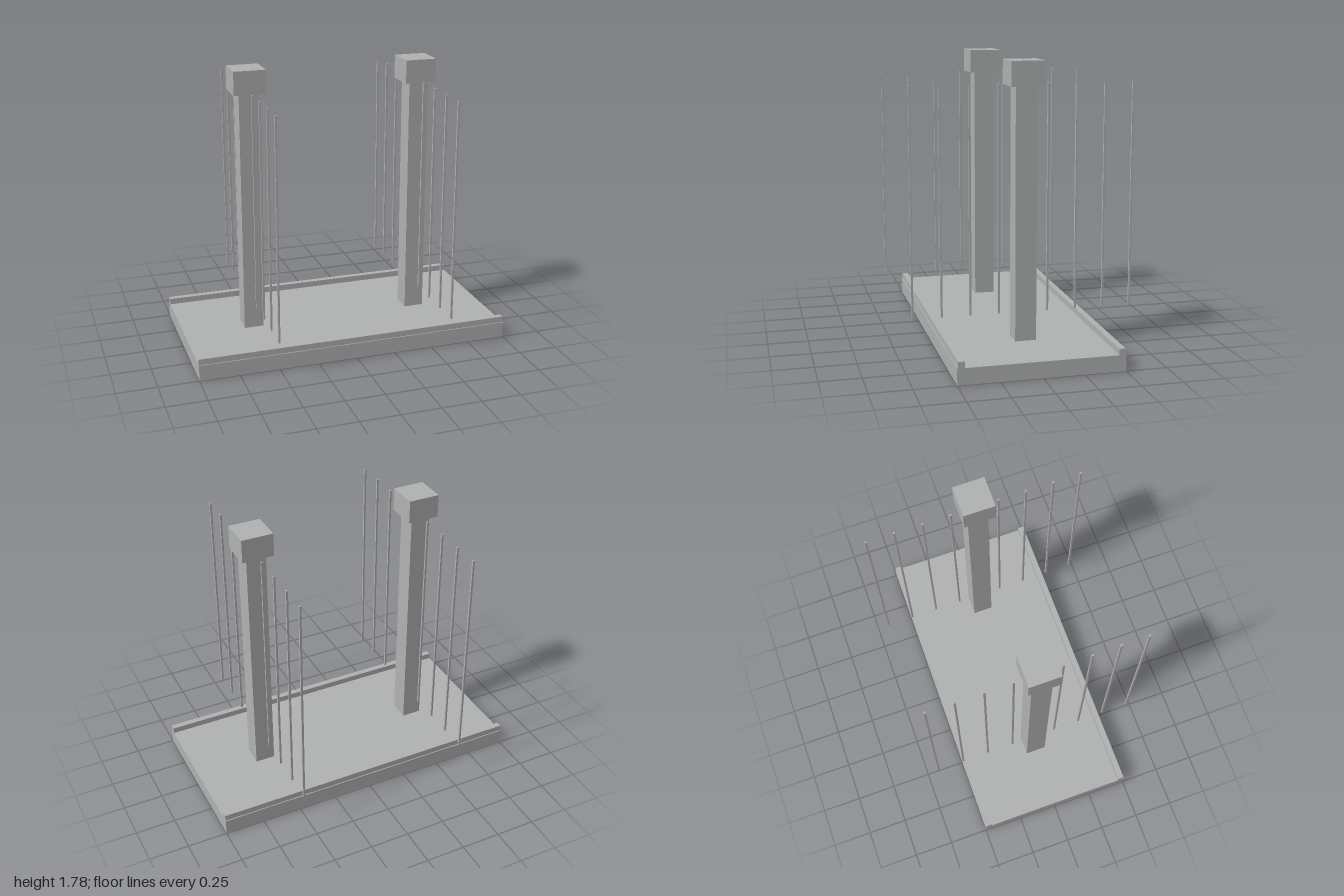
import * as THREE from 'three';

export function createModel() {
  const group = new THREE.Group();
  const concrete = new THREE.MeshStandardMaterial({ color: 0xb2b4b3 });
  concrete.name = 'concrete grey';

  // Box spanning y0..y1, centred on (x, z)
  function block(name, width, depth, y0, y1, x, z) {
    const mesh = new THREE.Mesh(new THREE.BoxGeometry(width, y1 - y0, depth), concrete);
    mesh.name = name;
    mesh.position.set(x, (y0 + y1) / 2, z);
    group.add(mesh);
  }

  // Deck slab with a kerb along each long edge
  block('deck', 2, 1, 0, 0.1, 0, 0);
  block('frontKerb', 2, 0.038, 0.1, 0.138, 0, 0.475);
  block('backKerb', 2, 0.038, 0.1, 0.138, 0, -0.475);

  for (const [side, x] of [['left', 0.55], ['right', -0.55]]) {
    // Pylon and its square cap
    block(side + 'Pylon', 0.125, 0.13, 0.1, 1.63, x, 0);
    block(side + 'PylonCap', 0.2, 0.2, 1.63, 1.777, x, 0);

    // Vertical hangers, evenly spaced in front of and behind the pylon
    for (const s of [1, -1]) {
      for (let i = 0; i < 4; i++) {
        const name = side + (s > 0 ? 'Front' : 'Back') + 'Hanger' + (i + 1);
        block(name, 0.012, 0.012, 0.265, 1.64, x, s * (0.15 + i * 0.175));
      }
    }
  }
  return group;
}
